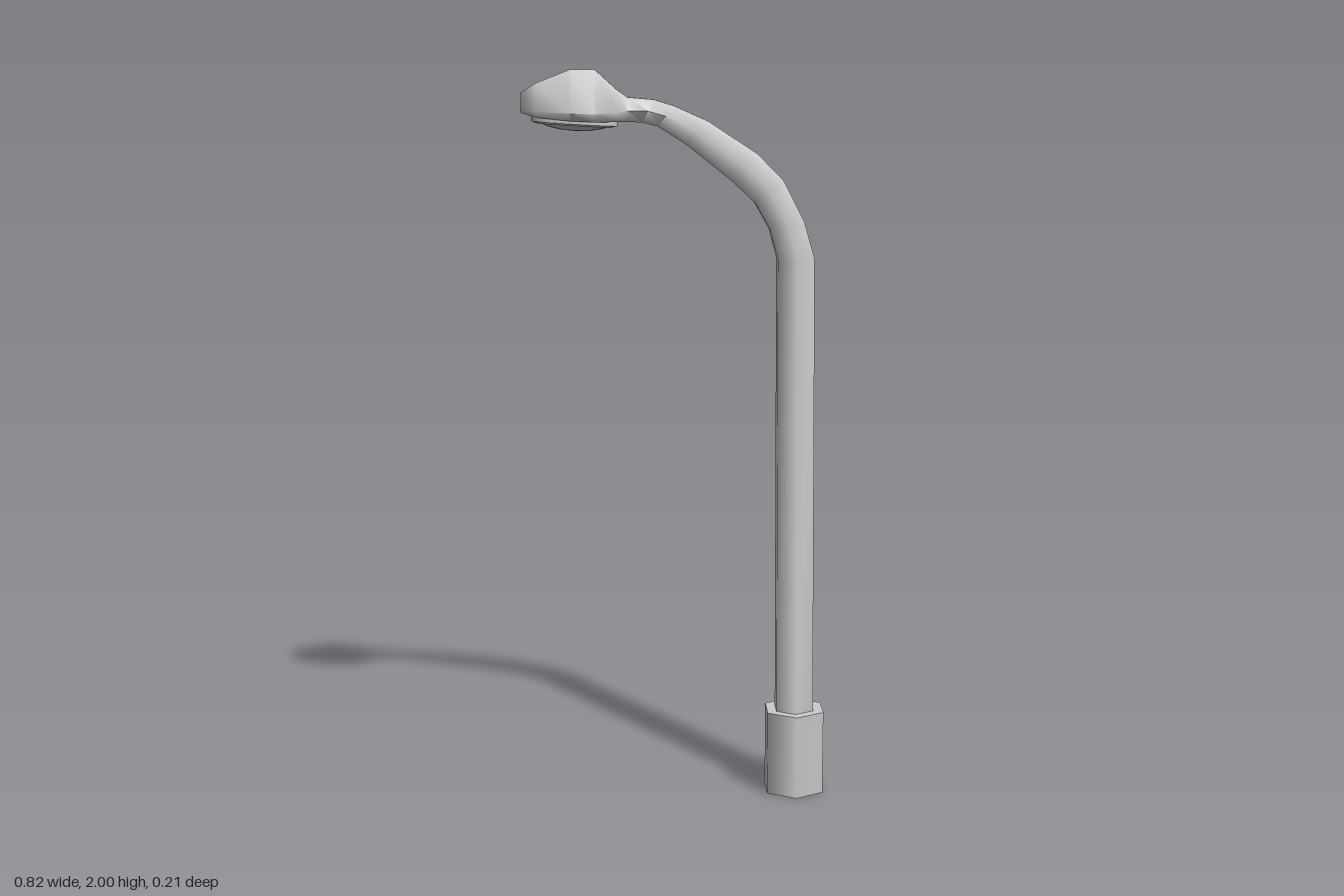
import * as THREE from 'three';
import { toCreasedNormals } from 'three/addons/utils/BufferGeometryUtils.js';

const material = new THREE.MeshStandardMaterial({ color: 0xcccccc });

function add(group, name, geometry) {
  const mesh = new THREE.Mesh(geometry, material);
  mesh.name = name;
  group.add(mesh);
  return mesh;
}

// Six-sided loft. Each section: outer [x, y], middle [x, y], inner [x, y], and their half widths in z.
function loft(sections) {
  const positions = [], index = [];
  for (const { p, w } of sections) {
    for (let k = 0; k < 3; k++) positions.push(p[k][0], p[k][1], w[k]);
    for (let k = 2; k >= 0; k--) positions.push(p[k][0], p[k][1], -w[k]);
  }
  for (let i = 0; i < sections.length - 1; i++) {
    for (let j = 0; j < 6; j++) {
      const a = i * 6 + j, b = i * 6 + (j + 1) % 6;
      index.push(a, a + 6, b, b, a + 6, b + 6);
    }
  }
  const last = (sections.length - 1) * 6;
  for (let j = 1; j < 5; j++) {
    index.push(0, j, j + 1);
    index.push(last, last + j + 1, last + j);
  }
  const geometry = new THREE.BufferGeometry();
  geometry.setAttribute('position', new THREE.Float32BufferAttribute(positions, 3));
  geometry.setIndex(index);
  return toCreasedNormals(geometry, 1.15);
}

// Regular hexagonal section between an outer and an inner point
function hex(ox, oy, ix, iy, w) {
  return { p: [[ox, oy], [(ox + ix) / 2, (oy + iy) / 2], [ix, iy]], w: [w / 2, w, w / 2] };
}

// Lamp housing section at x: top, rim and underside heights, with half widths
function shell(x, top, rim, under, wTop, wRim, wUnder) {
  return { p: [[x, top], [x, rim], [x, under]], w: [wTop, wRim, wUnder] };
}

export function createModel() {
  const group = new THREE.Group();
  group.name = 'streetLamp';

  // Hexagonal foot
  const base = add(group, 'base', new THREE.CylinderGeometry(0.09, 0.09, 0.235, 6));
  base.position.set(0.332, 0.1175, 0);

  // Pole, curved arm and lamp housing as one continuous skin
  add(group, 'poleArmAndHousing', loft([
    hex(0.382, 0.2, 0.28, 0.2, 0.06),
    hex(0.371, 1.5, 0.272, 1.5, 0.056),
    hex(0.342, 1.6, 0.25, 1.58, 0.056),
    hex(0.285, 1.71, 0.21, 1.65, 0.055),
    hex(0.215, 1.78, 0.145, 1.71, 0.054),
    hex(0.085, 1.865, 0.025, 1.805, 0.048),
    hex(-0.005, 1.905, -0.05, 1.852, 0.043),
    hex(-0.06, 1.922, -0.09, 1.862, 0.042),
    shell(-0.13, 1.928, 1.893, 1.864, 0.022, 0.044, 0.024),
    shell(-0.16, 1.95, 1.888, 1.864, 0.03, 0.064, 0.045),
    shell(-0.215, 2.0, 1.885, 1.864, 0.05, 0.103, 0.085),
    shell(-0.28, 2.0, 1.887, 1.867, 0.05, 0.103, 0.085),
    shell(-0.37, 1.965, 1.892, 1.876, 0.032, 0.066, 0.054),
    shell(-0.41, 1.94, 1.896, 1.888, 0.02, 0.042, 0.034),
  ]));

  // Shallow domed lens with a raised rim under the housing
  const profile = [[0, -0.027], [0.35, -0.025], [0.65, -0.018], [0.84, -0.009],
    [0.86, -0.013], [1, -0.008], [1, 0.012]].map(([r, y]) => new THREE.Vector2(r, y));
  const lensGeometry = new THREE.LatheGeometry(profile, 20);
  lensGeometry.scale(0.115, 1, 0.076);
  const lens = add(group, 'lens', toCreasedNormals(lensGeometry, 0.7));
  lens.position.set(-0.27, 1.867, 0);
  lens.rotation.z = -0.06;

  return group;
}
